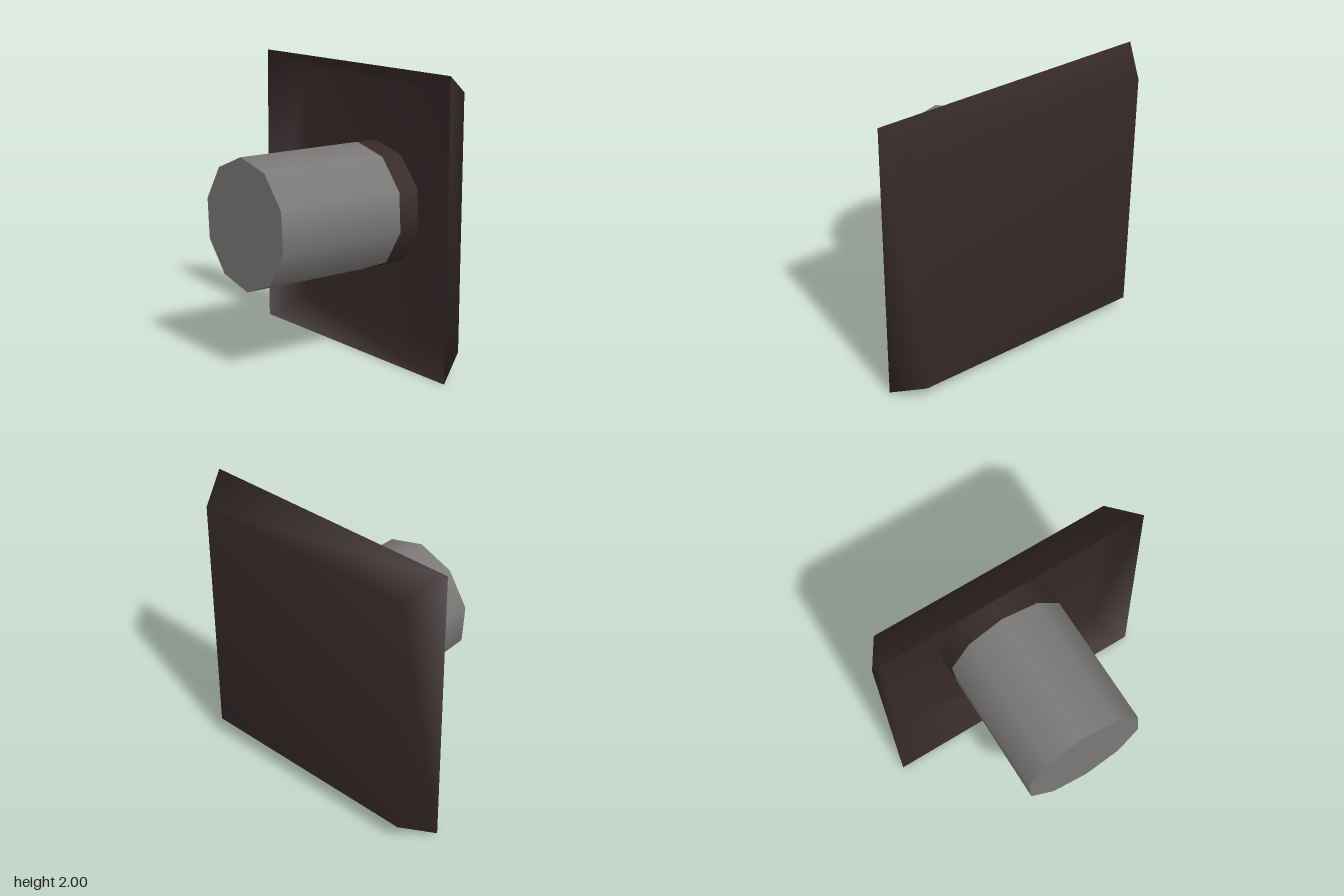
import * as THREE from 'three';

const darkBrown = new THREE.MeshStandardMaterial({ color: 0x352828, side: THREE.DoubleSide });
darkBrown.name = 'darkBrown';
const grey = new THREE.MeshStandardMaterial({ color: 0x7a7876 });
grey.name = 'grey';

// Open-fronted tray with smooth, shared normals
function trayGeometry() {
  const points = [];
  for (const [w, h, z] of [[0.975, 1, -0.32], [0.84, 0.865, -0.565]]) {
    for (const [sx, sy] of [[-1, -1], [1, -1], [1, 1], [-1, 1]]) points.push(sx * w, 1 + sy * h, z);
  }
  const index = [4, 7, 6, 4, 6, 5]; // back panel
  for (let i = 0; i < 4; i++) {
    const j = (i + 1) % 4;
    index.push(i, i + 4, j, j, i + 4, j + 4); // sloping wall
  }
  const geometry = new THREE.BufferGeometry();
  geometry.setAttribute('position', new THREE.Float32BufferAttribute(points, 3));
  geometry.setIndex(index);
  geometry.computeVertexNormals();
  return geometry;
}

// Ten-sided post section lying along z
function postSection(name, zBack, zFront, material, openEnded) {
  const geometry = new THREE.CylinderGeometry(0.445, 0.445, zFront - zBack, 10, 1, openEnded, Math.PI + 0.07);
  geometry.rotateX(Math.PI / 2);
  const mesh = new THREE.Mesh(geometry, material);
  mesh.name = name;
  mesh.position.set(0, 1, (zFront + zBack) / 2);
  return mesh;
}

export function createModel() {
  const model = new THREE.Group();
  model.name = 'wallKnob';
  const tray = new THREE.Mesh(trayGeometry(), darkBrown);
  tray.name = 'backTray';
  model.add(
    tray,
    postSection('post', -0.4, 0.565, grey, false),
    postSection('postFoot', -0.56, -0.4, darkBrown, true),
  );
  return model;
}
